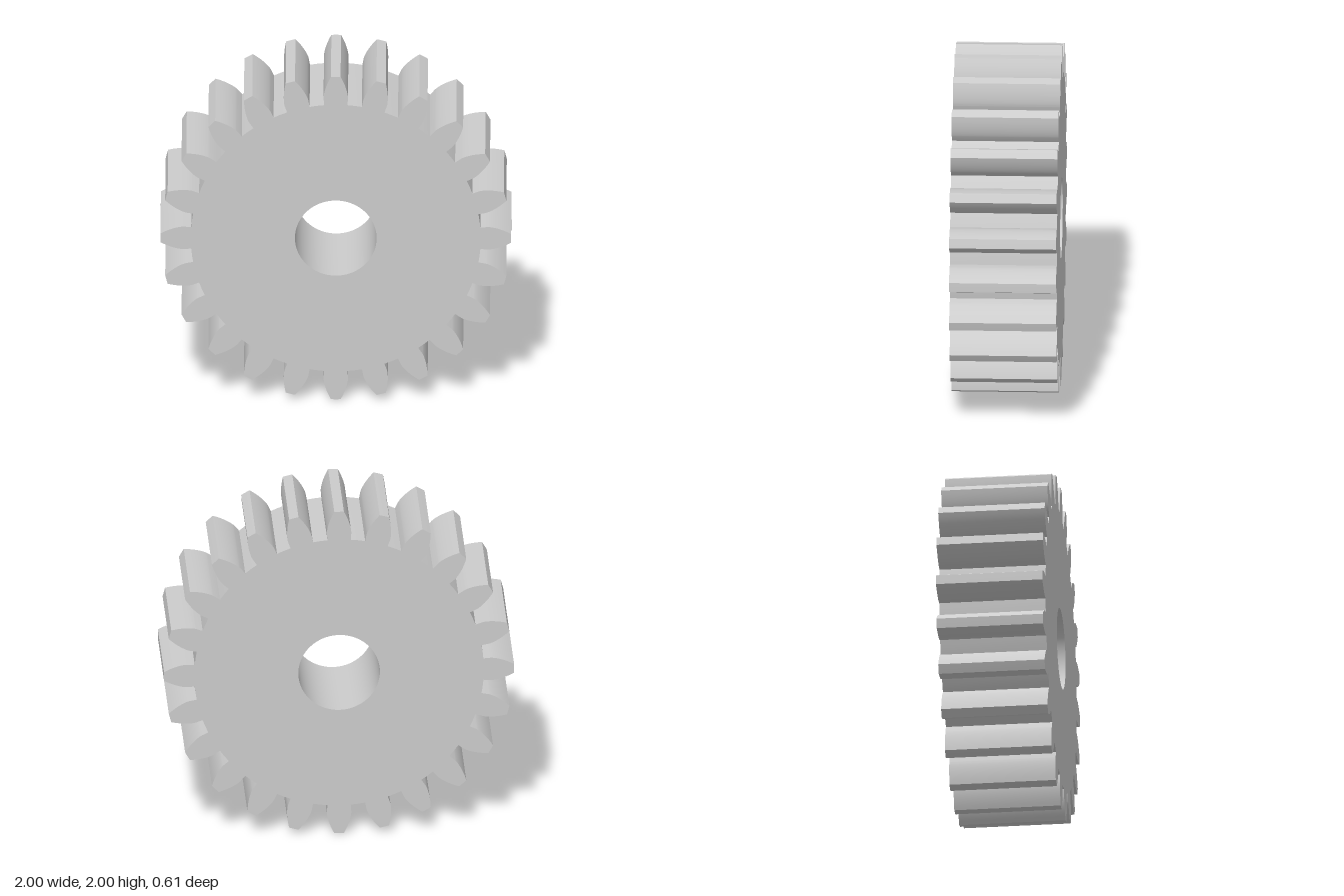
import * as THREE from 'three';
import { toCreasedNormals } from 'three/addons/utils/BufferGeometryUtils.js';

const TEETH = 24;
const TIP_R = 1;
const MODULE = (2 * TIP_R) / (TEETH + 2);
const PITCH_R = (MODULE * TEETH) / 2;
const ROOT_R = PITCH_R - 1.25 * MODULE;
const PRESSURE = THREE.MathUtils.degToRad(20);
const BASE_R = PITCH_R * Math.cos(PRESSURE);
const BORE_R = 0.233;
const WIDTH = 0.61;
const FLANK_STEPS = 10;

const involute = (a) => Math.tan(a) - a;

// Half the angle a tooth spans at radius r; radial below the base circle
function halfAngle(r) {
  const a = Math.acos(Math.min(1, BASE_R / r));
  return Math.PI / (2 * TEETH) + involute(PRESSURE) - involute(a);
}

// Involute spur gear outline, counter-clockwise, first tooth on +x
function gearOutline() {
  const flank = [[ROOT_R, halfAngle(ROOT_R)]];
  for (let i = 0; i <= FLANK_STEPS; i++) {
    // denser near the base circle, where the involute bends most
    const r = BASE_R + (TIP_R - BASE_R) * (i / FLANK_STEPS) ** 1.5;
    flank.push([r, halfAngle(r)]);
  }
  const points = [];
  const add = (r, a) => points.push(new THREE.Vector2(r * Math.cos(a), r * Math.sin(a)));
  for (let t = 0; t < TEETH; t++) {
    const mid = (t / TEETH) * Math.PI * 2;
    for (const [r, a] of flank) add(r, mid - a);
    add(TIP_R, mid);
    for (const [r, a] of [...flank].reverse()) add(r, mid + a);
    // middle of the root land
    add(ROOT_R, mid + Math.PI / TEETH);
  }
  return points;
}

export function createModel() {
  const group = new THREE.Group();
  group.name = 'spurGear';

  // Toothed body with a round shaft bore
  const shape = new THREE.Shape(gearOutline());
  const bore = [];
  for (let i = 0; i < 72; i++) {
    const a = (-i / 72) * Math.PI * 2;
    bore.push(new THREE.Vector2(BORE_R * Math.cos(a), BORE_R * Math.sin(a)));
  }
  shape.holes.push(new THREE.Path(bore));

  const extruded = new THREE.ExtrudeGeometry(shape, { depth: WIDTH, bevelEnabled: false, steps: 1 });
  extruded.translate(0, TIP_R, -WIDTH / 2);

  const gear = new THREE.Mesh(
    toCreasedNormals(extruded, Math.PI / 6),
    new THREE.MeshStandardMaterial({ color: 0xcccccc })
  );
  gear.name = 'gearBody';
  group.add(gear);
  return group;
}
